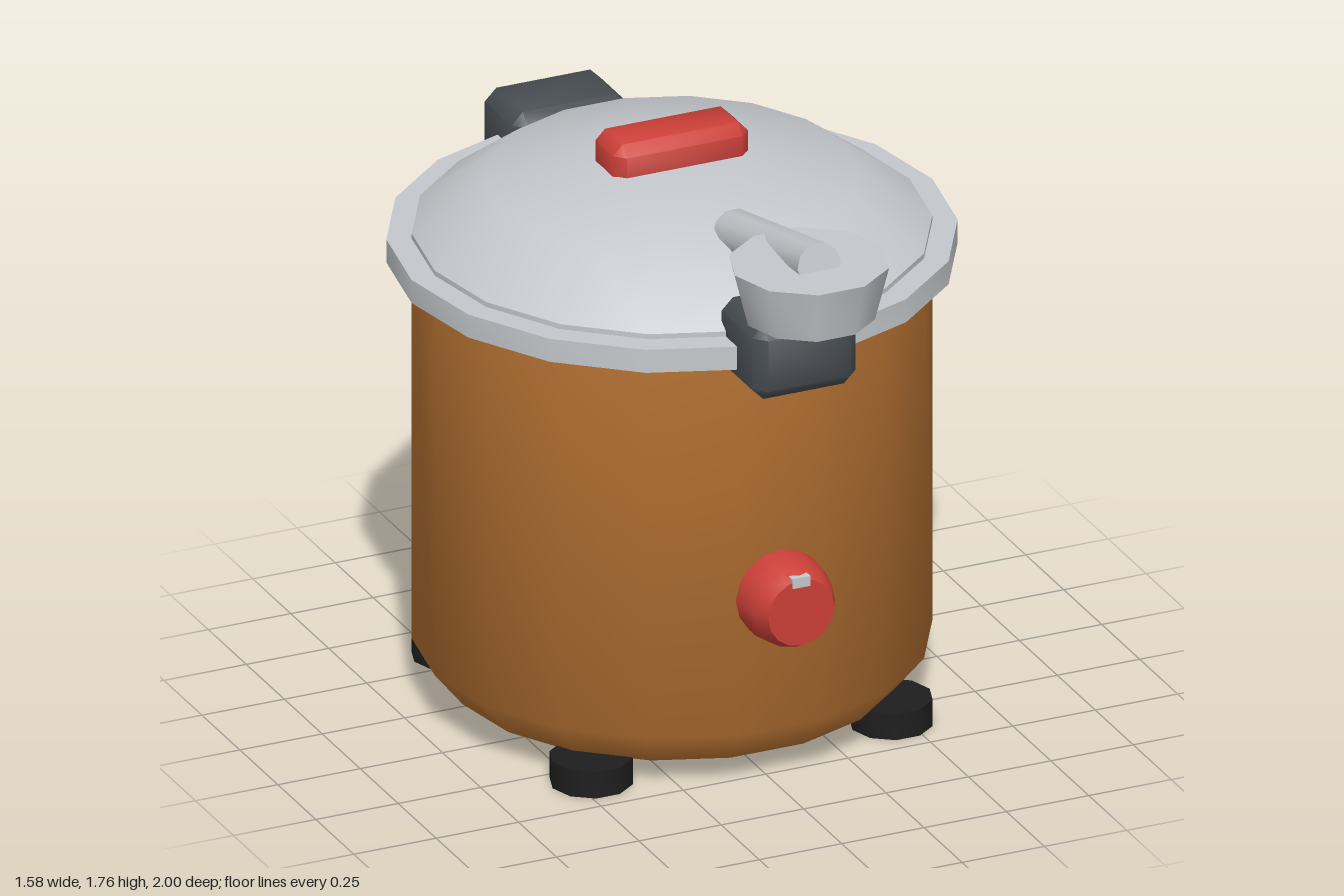
import * as THREE from 'three';
import { toCreasedNormals } from 'three/addons/utils/BufferGeometryUtils.js';
import { ConvexGeometry } from 'three/addons/geometries/ConvexGeometry.js';

const flat = (name, color) => {
  const m = new THREE.MeshStandardMaterial({ color });
  m.name = name;
  return m;
};

// Turned part from [radius, height] pairs, with a corner on the x axis
function turned(profile, sides, crease = 0.75) {
  const points = profile.map(([r, y]) => new THREE.Vector2(r, y));
  return toCreasedNormals(new THREE.LatheGeometry(points, sides).rotateY(Math.PI / 2), crease);
}

// Box with all edges and corners cut by c, softly shaded
function chamferedBox(w, h, d, c) {
  const half = [w / 2, h / 2, d / 2];
  const points = [];
  for (const sx of [-1, 1]) for (const sy of [-1, 1]) for (const sz of [-1, 1]) {
    for (let axis = 0; axis < 3; axis++) {
      const p = half.map((v, i) => (i === axis ? v : v - c));
      points.push(new THREE.Vector3(sx * p[0], sy * p[1], sz * p[2]));
    }
  }
  return toCreasedNormals(new ConvexGeometry(points), 0.9);
}

export function createModel() {
  const copper = flat('copper', 0xb87333);
  const steel = flat('steel', 0xc4c8cc);
  const red = flat('red', 0xcc4038);
  const grip = flat('dark grey', 0x474d52);
  const rubber = flat('black rubber', 0x1e1e1e);

  const model = new THREE.Group();
  model.name = 'pressureCooker';
  const add = (name, geometry, material, x, y, z) => {
    const mesh = new THREE.Mesh(geometry, material);
    mesh.name = name;
    mesh.position.set(x, y, z);
    model.add(mesh);
    return mesh;
  };
  const cz = -0.117; // pot axis

  // Pot, rim and domed lid
  add('body', turned([[0, 0.075], [0.635, 0.075], [0.72, 0.18], [0.72, 1.36], [0, 1.36]], 18), copper, 0, 0, cz);
  add('rim', turned([[0, 1.325], [0.79, 1.325], [0.79, 1.395], [0, 1.395]], 18), steel, 0, 0, cz);
  add('lid', turned([[0.72, 1.38], [0.72, 1.41], [0.52, 1.56], [0.205, 1.62], [0, 1.62]], 18), steel, 0, 0, cz);
  add('lidHandle', chamferedBox(0.41, 0.16, 0.175, 0.03), red, 0, 1.63, -0.12);

  // Side grips
  add('frontGrip', chamferedBox(0.315, 0.225, 0.27, 0.035), grip, 0, 1.3825, 0.65);
  add('backGrip', chamferedBox(0.355, 0.27, 0.245, 0.035), grip, 0, 1.36, -0.8775);

  // Feet
  const footShape = turned([[0, 0], [0.117, 0], [0.117, 0.08], [0, 0.08]], 10);
  for (const sx of [-1, 1]) for (const sz of [-1, 1]) {
    add('foot', footShape, rubber, sx * 0.455, 0, cz + sz * 0.455);
  }

  // Dial with pointer
  const dial = turned([[0, 0], [0.132, 0], [0.132, 0.045], [0.12, 0.105], [0.1, 0.145], [0, 0.145]], 16);
  add('dial', dial.rotateX(Math.PI / 2), red, 0, 0.59, 0.59);
  add('dialPointer', new THREE.BoxGeometry(0.055, 0.03, 0.06), steel, 0, 0.682, 0.706);

  // Valve cup on its sloping pipe
  add('valveCup', turned([[0, 1.52], [0.185, 1.52], [0.225, 1.68], [0, 1.68]], 10), steel, 0, 0, 0.786);
  const low = new THREE.Vector3(0, 1.562, 0.295);
  const high = new THREE.Vector3(0, 1.695, 0.853);
  const axis = high.clone().sub(low);
  const length = axis.length();
  const pipe = add('valvePipe', turned([[0, 0], [0.066, 0], [0.066, length], [0, length]], 10), steel, 0, low.y, low.z);
  pipe.quaternion.setFromUnitVectors(new THREE.Vector3(0, 1, 0), axis.normalize());

  return model;
}
